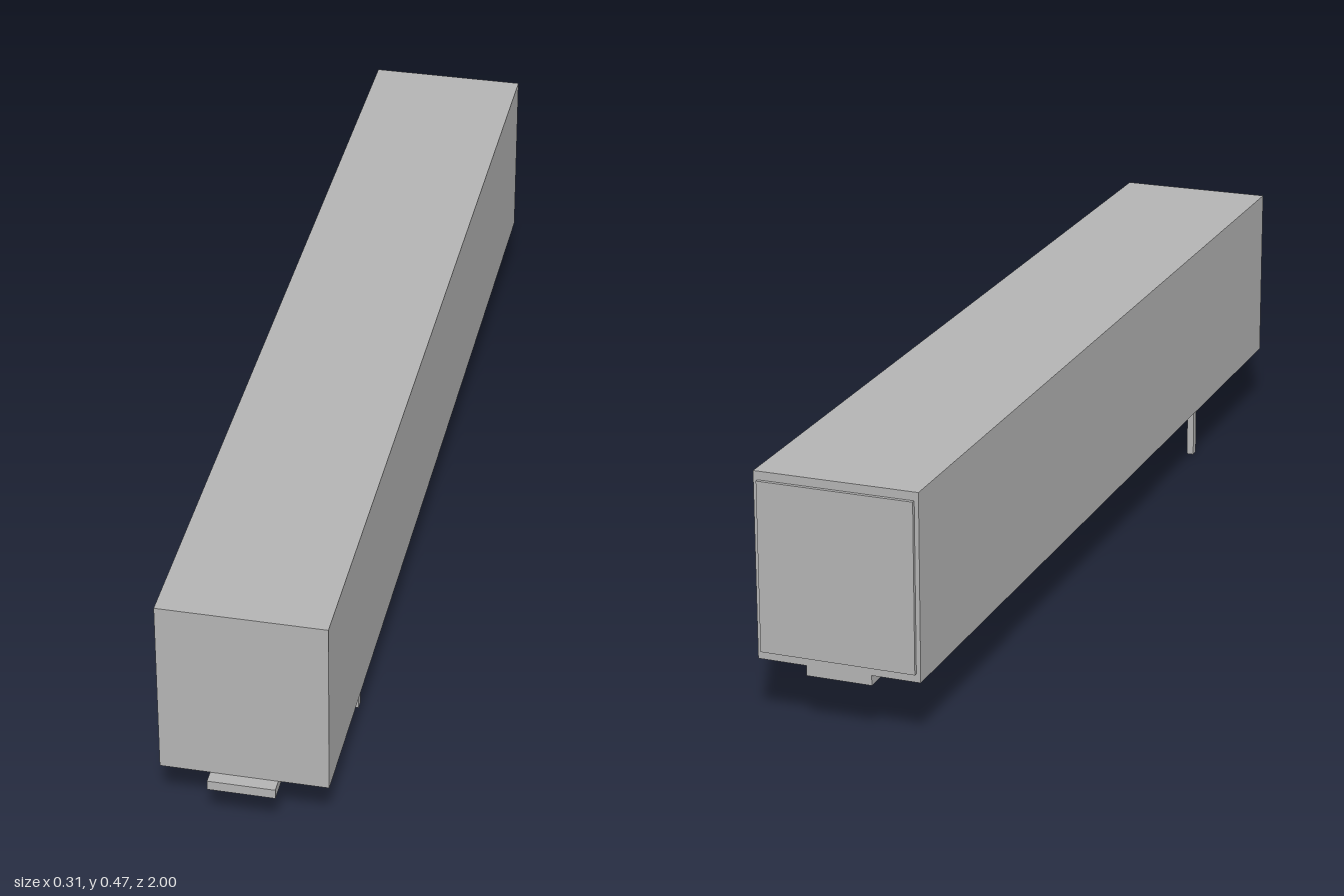
import * as THREE from 'three';

export function createModel() {
  const group = new THREE.Group();
  const grey = new THREE.MeshStandardMaterial({ color: 0xb4b4b4 });
  grey.name = 'grey';

  // Box given by its extents on each axis
  function box(name, [x0, x1], [y0, y1], [z0, z1]) {
    const mesh = new THREE.Mesh(new THREE.BoxGeometry(x1 - x0, y1 - y0, z1 - z0), grey);
    mesh.position.set((x0 + x1) / 2, (y0 + y1) / 2, (z0 + z1) / 2);
    mesh.name = name;
    group.add(mesh);
  }

  // Long cargo body
  box('cargoBody', [-0.154, 0.154], [0.119, 0.47], [-0.993, 0.975]);

  // Raised rear door panel
  box('rearDoor', [-0.146, 0.146], [0.135, 0.454], [-1, -0.993]);

  // Chassis rail under the body, poking out at the front
  box('chassisRail', [-0.062, 0.062], [0.1, 0.119], [-0.993, 1]);

  // Landing legs
  for (const [side, x] of [['left', 0.123], ['right', -0.123]]) {
    box(side + 'LandingLeg', [x - 0.007, x + 0.007], [0, 0.1], [0.583, 0.6]);
  }

  return group;
}
